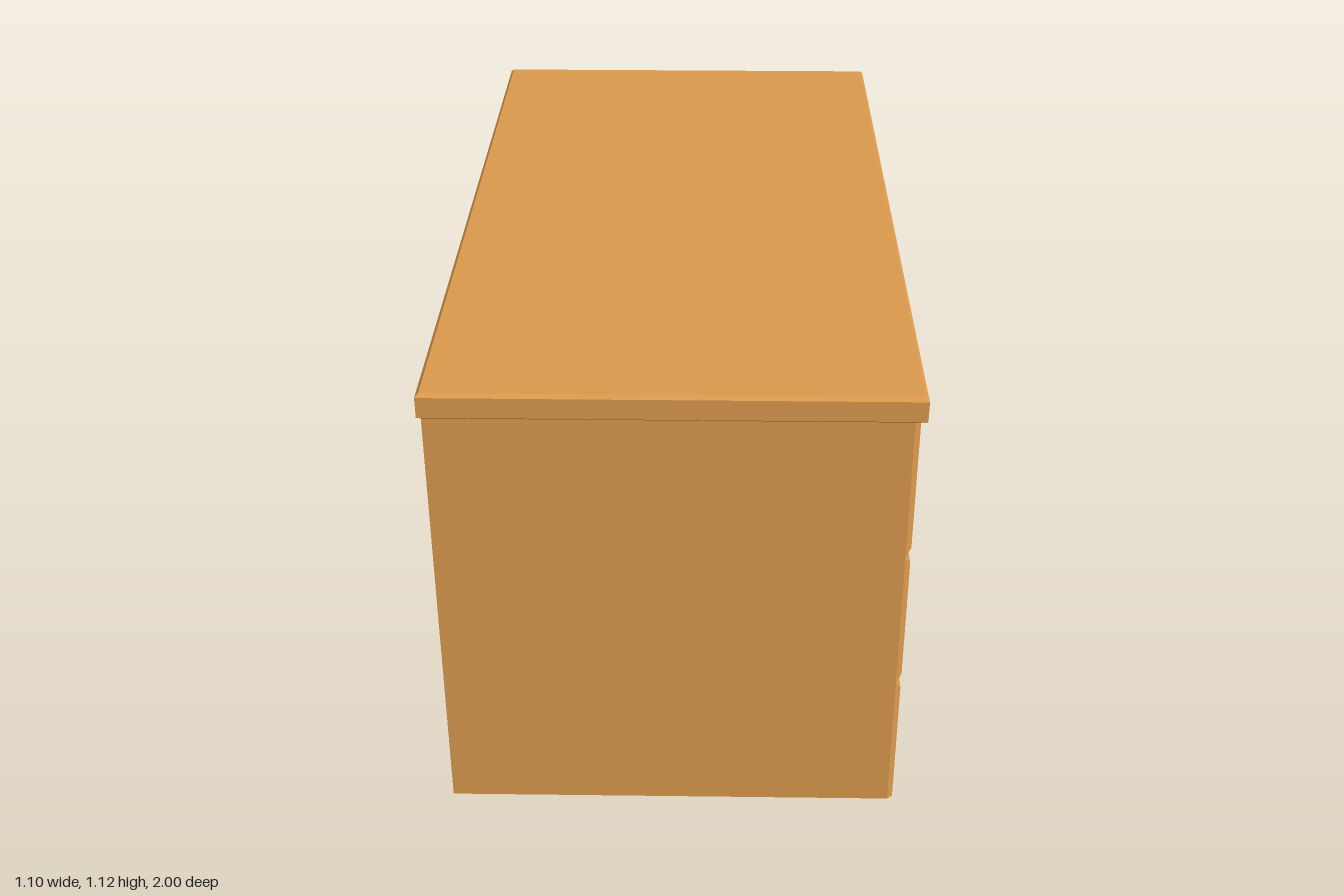
import * as THREE from 'three';
import { ConvexGeometry } from 'three/addons/geometries/ConvexGeometry.js';

const wood = new THREE.MeshStandardMaterial({ color: 0xdd9b4e });
const metal = new THREE.MeshStandardMaterial({ color: 0x8c8c8c });

// Flat-sided solid through rectangles stacked along x: [x, yMin, yMax, halfZ]
function panelAlongX(layers) {
  return new ConvexGeometry(layers.flatMap(([x, y0, y1, hz]) =>
    [[y0, -hz], [y0, hz], [y1, -hz], [y1, hz]].map(([y, z]) => new THREE.Vector3(x, y, z))));
}

// Flat-sided solid through rectangles stacked along y: [y, xMin, xMax, halfZ]
function slabAlongY(layers) {
  return new ConvexGeometry(layers.flatMap(([y, x0, x1, hz]) =>
    [[x0, -hz], [x0, hz], [x1, -hz], [x1, hz]].map(([x, z]) => new THREE.Vector3(x, y, z))));
}

export function createModel() {
  const group = new THREE.Group();
  const add = (name, geometry, material) => {
    const mesh = new THREE.Mesh(geometry, material);
    mesh.name = name;
    group.add(mesh);
    return mesh;
  };

  const height = 1.065, back = -0.544, recess = 0.502, face = 0.515;

  // Cabinet carcass
  add('carcass', new THREE.BoxGeometry(recess - back, height, 1.964), wood)
    .position.set((recess + back) / 2, height / 2, 0);

  // Worktop with chamfered upper and lower edges
  const c = 0.008;
  add('worktop', slabAlongY([
    [height - 0.002, -0.551 + c, 0.526 - c, 1 - c],
    [height + 0.004, -0.551, 0.526, 1],
    [1.117, -0.551, 0.526, 1],
    [1.125, -0.551 + c, 0.526 - c, 1 - c],
  ]), wood);

  // Drawer fronts meeting in V grooves, each with a bar handle
  const seams = [0, 0.354, 0.708, height];
  const handleY = [0.168, 0.532, 0.896];
  for (let i = 0; i < 3; i++) {
    const y0 = seams[i], y1 = seams[i + 1];
    const cut0 = i > 0 ? 0.02 : 0, cut1 = i < 2 ? 0.02 : 0;
    add('drawerFront' + (i + 1), panelAlongX([
      [recess, y0, y1, 0.982],
      [face, y0 + cut0, y1 - cut1, 0.971],
    ]), wood);

    const h = handleY[i];
    add('handle' + (i + 1), panelAlongX([
      [face - 0.003, h - 0.028, h + 0.028, 0.131],
      [0.543, h - 0.028, h + 0.028, 0.131],
      [0.551, h - 0.02, h + 0.02, 0.123],
    ]), metal);
  }
  return group;
}
